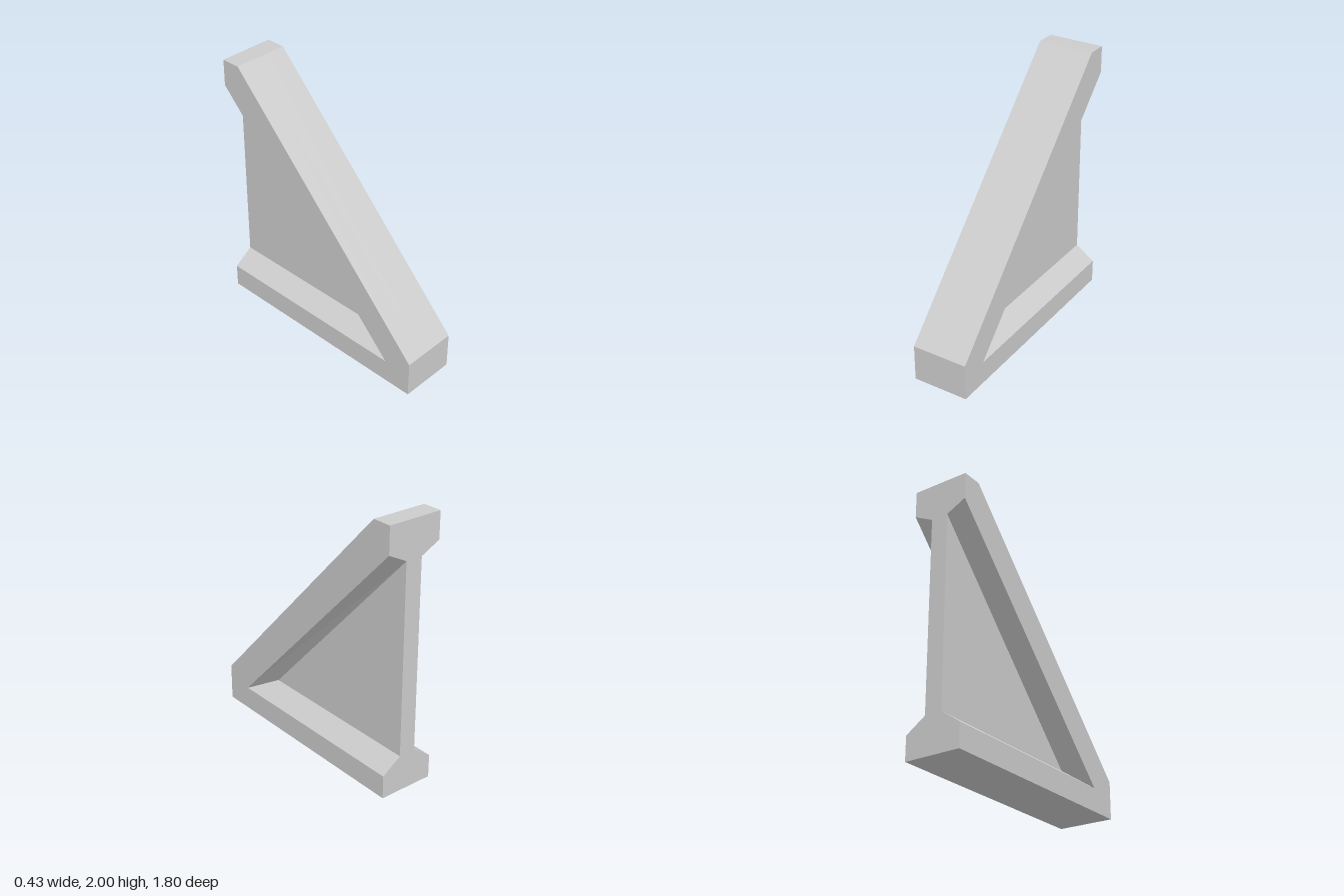
import * as THREE from 'three';

const HALF_WIDTH = 0.215;
const HALF_WEB = 0.066;

// Side outline as [z, y]; the last three corners bound the triangular recess.
const OUTLINE = [[-0.9, 0], [0.9, 0], [0.9, 0.28], [-0.75, 2], [-0.9, 2]];
const RECESS_RIM = [[-0.9, 1.8], [0.68, 0.177], [-0.9, 0.177]];
const RECESS_FLOOR = [[-0.9, 1.725], [0.48, 0.28], [-0.9, 0.28]];

function bracketGeometry() {
  const rim = [...OUTLINE, ...RECESS_RIM];
  const floor = [...OUTLINE, ...RECESS_FLOOR];
  const sections = [
    { x: -HALF_WIDTH, points: rim },
    { x: -HALF_WEB, points: floor },
    { x: HALF_WEB, points: floor },
    { x: HALF_WIDTH, points: rim },
  ];
  const positions = [];
  const tri = (...corners) => corners.forEach(([s, i]) => {
    const [z, y] = sections[s].points[i];
    positions.push(sections[s].x, y, z);
  });

  // Walls between neighbouring sections; the web span skips the recess corner.
  for (let s = 0; s < 3; s++) {
    const loop = s === 1 ? [0, 1, 2, 3, 4, 5, 7] : [0, 1, 2, 3, 4, 5, 6, 7];
    loop.forEach((i, k) => {
      const j = loop[(k + 1) % loop.length];
      tri([s, i], [s + 1, i], [s + 1, j]);
      tri([s, i], [s + 1, j], [s, j]);
    });
  }

  // Flange side faces
  const contour = rim.map(([z, y]) => new THREE.Vector2(z, y));
  for (const [a, b, c] of THREE.ShapeUtils.triangulateShape(contour, [])) {
    tri([0, a], [0, b], [0, c]);
    tri([3, a], [3, c], [3, b]);
  }

  // Web side faces
  tri([1, 5], [1, 7], [1, 6]);
  tri([2, 5], [2, 6], [2, 7]);

  const geometry = new THREE.BufferGeometry();
  geometry.setAttribute('position', new THREE.Float32BufferAttribute(positions, 3));
  geometry.computeVertexNormals();
  return geometry;
}

export function createModel() {
  const group = new THREE.Group();
  group.name = 'supportBracket';
  const material = new THREE.MeshStandardMaterial({ color: 0xcccccc, flatShading: true });
  const bracket = new THREE.Mesh(bracketGeometry(), material);
  bracket.name = 'bracketBody';
  group.add(bracket);
  return group;
}
